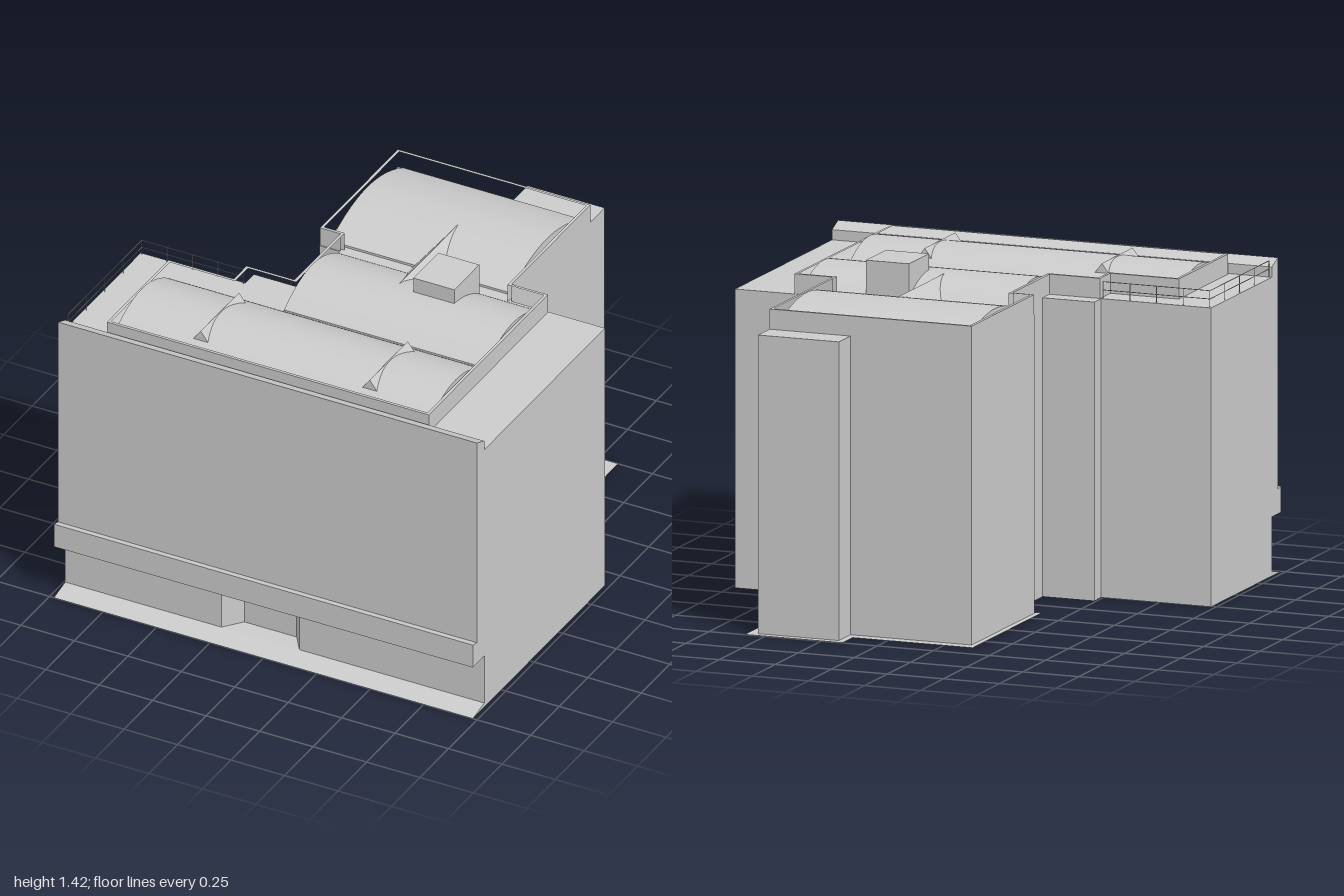
import * as THREE from 'three';
import { toCreasedNormals } from 'three/addons/utils/BufferGeometryUtils.js';

const grey = new THREE.MeshStandardMaterial({ color: 0xcccccc });
const shell = new THREE.MeshStandardMaterial({ color: 0xcccccc, side: THREE.DoubleSide });

const DECK = 1.26;
const PARAPET = 1.345;

function add(parent, name, geometry, material = grey) {
  const mesh = new THREE.Mesh(geometry, material);
  mesh.name = name;
  parent.add(mesh);
  return mesh;
}

const shapeOf = (pts) => new THREE.Shape(pts.map(([a, b]) => new THREE.Vector2(a, b)));

// Vertical walls along a closed plan outline of [x, z] points
function wallGeometry(pts, y0, y1) {
  const pos = [];
  pts.forEach(([x, z], i) => {
    const [u, w] = pts[(i + 1) % pts.length];
    pos.push(x, y0, z, u, y0, w, u, y1, w, x, y0, z, u, y1, w, x, y1, z);
  });
  const g = new THREE.BufferGeometry();
  g.setAttribute('position', new THREE.Float32BufferAttribute(pos, 3));
  g.computeVertexNormals();
  return g;
}

// Horizontal sheet filling a plan outline
function sheetGeometry(pts, y) {
  const g = new THREE.ShapeGeometry(shapeOf(pts.map(([x, z]) => [x, -z])));
  return g.rotateX(-Math.PI / 2).translate(0, y, 0);
}

// Profile of [z, y] points swept along x
function sweepX(pts, x0, x1) {
  const g = new THREE.ExtrudeGeometry(shapeOf(pts), { depth: x1 - x0, bevelEnabled: false });
  return g.rotateY(-Math.PI / 2).translate(x1, 0, 0);
}

// Moves every corner of a right-angled outline inward by t
function inset(pts, t) {
  const n = pts.length;
  const normal = (p, q) => [-Math.sign(q[1] - p[1]), Math.sign(q[0] - p[0])];
  return pts.map((p, i) => {
    const a = normal(pts[(i + n - 1) % n], p);
    const b = normal(p, pts[(i + 1) % n]);
    return [p[0] - t * (a[0] + b[0]), p[1] - t * (a[1] + b[1])];
  });
}

// Low barrel roof with its axis along x
function vaultGeometry(x0, x1, z0, z1, peak) {
  const pts = [[z1, DECK], [z0, DECK]];
  const base = 1.27, steps = 24;
  for (let i = 0; i <= steps; i++) {
    const t = i / steps;
    pts.push([z0 + (z1 - z0) * t, base + (peak - base) * (1 - (2 * t - 1) ** 2)]);
  }
  return toCreasedNormals(sweepX(pts, x0, x1), 0.5);
}

// Small gabled roof with its ridge along z
function gableGeometry(x, z0, z1, ridge, half, drop) {
  const s = shapeOf([[x - half, ridge - drop], [x + half, ridge - drop], [x, ridge]]);
  return new THREE.ExtrudeGeometry(s, { depth: z1 - z0, bevelEnabled: false }).translate(0, 0, z0);
}

function boxBetween(x0, x1, y0, y1, z0, z1) {
  return new THREE.BoxGeometry(x1 - x0, y1 - y0, z1 - z0)
    .translate((x0 + x1) / 2, (y0 + y1) / 2, (z0 + z1) / 2);
}

function rod(a, b, r = 0.0018) {
  return new THREE.TubeGeometry(
    new THREE.LineCurve3(new THREE.Vector3(...a), new THREE.Vector3(...b)), 1, r, 5);
}

export function createModel() {
  const model = new THREE.Group();
  model.name = 'building';

  // Main body: an open-bottomed shell, with a splayed entrance at street level
  const rest = [
    [0.98, 0.9], [0.98, -0.155], [0.545, -0.155], [0.545, -0.965], [0.185, -0.965],
    [0.185, -0.84], [-0.355, -0.84], [-0.355, -0.155], [-0.26, -0.155], [-0.26, 0.165],
    [-0.49, 0.165], [-0.49, 0.24], [-0.98, 0.24], [-0.98, 0.9],
  ];
  const recess = [[-0.25, 0.9], [-0.185, 0.82], [0.06, 0.82], [0.115, 0.9]];
  add(model, 'streetLevelWalls', wallGeometry([...rest, ...recess], 0, 0.25), shell);
  add(model, 'upperWalls', wallGeometry(rest, 0.25, DECK), shell);
  add(model, 'entranceCeiling', sheetGeometry(recess, 0.25), shell);
  add(model, 'entranceFloor', sheetGeometry(recess, 0.02), shell);
  add(model, 'roofDeck', sheetGeometry(rest, DECK), shell);

  // Street front: overhanging slab with a projecting band, and sloped pavement
  add(model, 'frontFacade', sweepX([
    [0.9, 0.25], [1, 0.25], [1, 0.36], [0.965, 0.352], [0.965, 1.33], [0.9, 1.303],
  ], -0.98, 0.98));
  add(model, 'frontPavement', sweepX([[0.9, 0], [1, 0], [0.9, 0.02]], -0.98, 0.98));

  // Ground sheet around the rear wing, and a small side canopy
  add(model, 'rearPavement', sheetGeometry([
    [-0.38, -0.14], [0.59, -0.14], [0.59, -1], [0.155, -1], [0.155, -0.89], [-0.38, -0.89],
  ], 0.001), shell);
  add(model, 'sideCanopy', boxBetween(0.54, 0.595, 0.172, 0.182, -0.725, -0.58));

  // Parapet around the raised roofs
  const outer = [
    [-0.79, 0.89], [0.715, 0.89], [0.715, -0.153], [0.545, -0.153], [0.545, -0.84],
    [-0.355, -0.84], [-0.355, -0.16], [-0.26, -0.16], [-0.26, 0.24], [-0.485, 0.24],
    [-0.485, 0.352], [-0.79, 0.352],
  ];
  const ring = shapeOf(outer);
  ring.holes.push(shapeOf(inset(outer, 0.013)));
  add(model, 'parapet',
    new THREE.ExtrudeGeometry(ring, { depth: PARAPET - DECK, bevelEnabled: false })
      .rotateX(Math.PI / 2).translate(0, PARAPET, 0));

  // Barrel roofs
  add(model, 'frontVault', vaultGeometry(-0.775, 0.695, 0.37, 0.865, 1.357));
  add(model, 'middleVault', vaultGeometry(-0.245, 0.695, -0.13, 0.36, 1.353));
  add(model, 'rearVault', vaultGeometry(-0.325, 0.515, -0.83, -0.195, 1.353));

  // Gables crossing the vaults, and the roof housing
  for (const x of [-0.405, 0.385]) {
    add(model, 'roofDormer', gableGeometry(x, 0.455, 0.79, 1.36, 0.045, 0.06));
  }
  add(model, 'linkGable', gableGeometry(0.138, -0.44, 0.08, 1.35, 0.075, 0.088));
  add(model, 'roofHousing', boxBetween(0.22, 0.412, DECK, 1.42, -0.118, 0.1));

  // Terrace railing
  const railing = new THREE.Group();
  railing.name = 'terraceRailing';
  model.add(railing);
  const path = [[-0.97, 0.895], [-0.97, 0.25], [-0.495, 0.25]];
  for (let i = 0; i < 2; i++) {
    const [x0, z0] = path[i], [x1, z1] = path[i + 1];
    for (const y of [1.295, 1.33]) add(railing, 'rail', rod([x0, y, z0], [x1, y, z1]));
    for (let k = 0; k <= 4; k++) {
      const x = x0 + (x1 - x0) * k / 4, z = z0 + (z1 - z0) * k / 4;
      add(railing, 'railPost', rod([x, DECK, z], [x, 1.33, z]));
    }
  }
  return model;
}
